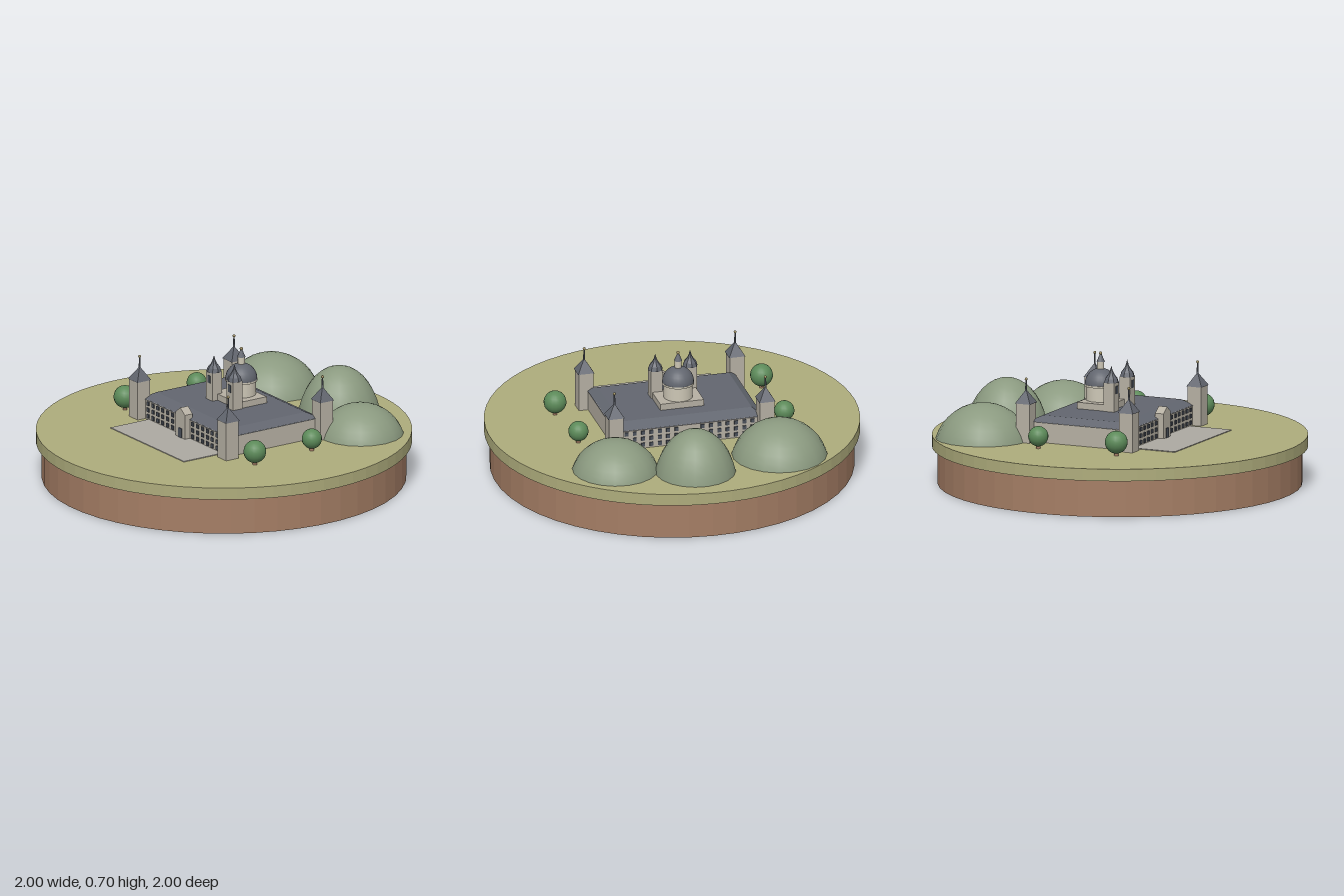
import * as THREE from 'three';

export function createModel() {
  const mat = (name, color) => Object.assign(new THREE.MeshStandardMaterial({ color }), { name });
  const grass = mat('grass', 0xaeac7c), earth = mat('earth', 0xa57e65), stone = mat('stone', 0xb6b0a3);
  const slate = mat('slate', 0x62666f), cream = mat('cream', 0xcdc7b6), glass = mat('darkGlass', 0x4a505a);
  const hillGreen = mat('hillGreen', 0x8b9a80), leaf = mat('leaf', 0x5c8a59);
  const paving = mat('paving', 0xaca9a2), gold = mat('gold', 0x9e8f62);

  const model = new THREE.Group();
  model.name = 'palaceOnIsland';
  const G = 0.265; // ground level

  const add = (parent, name, geo, material, x, y, z) => {
    const mesh = new THREE.Mesh(geo, material);
    mesh.name = name;
    mesh.position.set(x, y, z);
    parent.add(mesh);
    return mesh;
  };
  // Facet a geometry so each face has its own normal
  const flat = (geo) => {
    const g = geo.toNonIndexed();
    g.computeVertexNormals();
    return g;
  };
  const box = (parent, name, m, w, h, d, x, y0, z) =>
    add(parent, name, new THREE.BoxGeometry(w, h, d), m, x, y0 + h / 2, z);
  const cyl = (parent, name, m, rTop, rBot, h, seg, x, y0, z) =>
    add(parent, name, new THREE.CylinderGeometry(rTop, rBot, h, seg), m, x, y0 + h / 2, z);
  const ball = (parent, name, m, r, x, y, z, seg = 10) =>
    add(parent, name, new THREE.SphereGeometry(r, seg, Math.ceil(seg * 0.7)), m, x, y, z);

  // Round island: earth below, turf on top
  add(model, 'earthBase', flat(new THREE.CylinderGeometry(0.97, 0.97, 0.2, 48)), earth, 0, 0.1, 0);
  add(model, 'turf', flat(new THREE.CylinderGeometry(1, 1, G - 0.2, 64)), grass, 0, (G + 0.2) / 2, 0);

  // Hills: capped ellipsoids [x, z, radius, height]
  const cut = 0.3;
  for (const [x, z, r, h] of [[-0.195, -0.71, 0.255, 0.19], [0.3, -0.635, 0.215, 0.235], [0.63, -0.365, 0.23, 0.16]]) {
    const geo = new THREE.SphereGeometry(1, 20, 8, 0, Math.PI * 2, 0, Math.acos(cut));
    geo.translate(0, -cut, 0);
    geo.scale(r / Math.sqrt(1 - cut * cut), h / (1 - cut), r / Math.sqrt(1 - cut * cut));
    add(model, 'hill', geo, hillGreen, x, G, z);
  }

  // Round trees [x, z, radius]
  for (const [x, z, r] of [[-0.455, -0.39, 0.054], [-0.615, 0.043, 0.061], [0.592, -0.028 + 0.055, 0.054], [0.482, 0.395, 0.061]]) {
    cyl(model, 'treeTrunk', earth, 0.01, 0.012, 0.04, 8, x, G, z);
    ball(model, 'treeCrown', leaf, r, x, G + 0.012 + r, z, 18);
  }

  // Palace, turned on the island
  const palace = new THREE.Group();
  palace.name = 'palace';
  palace.position.set(0.014, 0, -0.045);
  palace.rotation.y = -0.352;
  model.add(palace);

  box(palace, 'plaza', paving, 0.69, 0.004, 0.26, 0, G, 0.41);
  box(palace, 'walls', stone, 0.81, 0.11, 0.588, 0, G, 0);

  // Low hipped roof with a flat top
  const roofGeo = new THREE.BoxGeometry(0.815, 0.032, 0.594);
  const p = roofGeo.attributes.position;
  for (let i = 0; i < p.count; i++) {
    if (p.getY(i) > 0) p.setXYZ(i, p.getX(i) * 0.885, p.getY(i), p.getZ(i) * 0.78);
  }
  add(palace, 'hippedRoof', flat(roofGeo), slate, 0, 0.389, 0);

  // Three rows of windows on the front and back walls
  for (const side of [1, -1]) {
    for (const s of [1, -1]) {
      for (let i = 0; i < 7; i++) {
        for (const y of [0.275, 0.31, 0.345]) {
          box(palace, 'window', glass, 0.02, 0.021, 0.009, s * (0.072 + i * 0.046), y, side * 0.2955);
        }
      }
    }
  }

  // Gabled entrance
  const gable = new THREE.Shape([[-0.043, 0], [0.043, 0], [0.043, 0.138], [0, 0.17], [-0.043, 0.138]]
    .map(([x, y]) => new THREE.Vector2(x, y)));
  add(palace, 'portal', new THREE.ExtrudeGeometry(gable, { depth: 0.05, bevelEnabled: false }), stone, 0, G, 0.277);
  box(palace, 'door', glass, 0.032, 0.052, 0.006, 0, G + 0.004, 0.328);

  // Four square corner towers with pyramid roofs and finials
  for (const sx of [1, -1]) {
    for (const sz of [1, -1]) {
      const tower = new THREE.Group();
      tower.name = 'cornerTower';
      tower.position.set(sx * 0.416, 0, sz * 0.304);
      palace.add(tower);
      box(tower, 'towerShaft', stone, 0.08, 0.21, 0.08, 0, G, 0);
      const cone = new THREE.ConeGeometry(0.063, 0.073, 4);
      cone.rotateY(Math.PI / 4);
      add(tower, 'towerRoof', flat(cone), slate, 0, 0.5115, 0);
      cyl(tower, 'towerSpire', slate, 0.004, 0.006, 0.066, 6, 0, 0.535, 0);
      ball(tower, 'towerFinial', gold, 0.008, 0, 0.604, 0, 8);
    }
  }

  // Church block, drum, dome and lantern
  const cz = -0.066;
  box(palace, 'churchBlock', stone, 0.24, 0.06, 0.19, 0, 0.38, -0.053);
  cyl(palace, 'drum', cream, 0.078, 0.078, 0.085, 24, 0, 0.44, cz);
  cyl(palace, 'drumCornice', cream, 0.086, 0.086, 0.01, 24, 0, 0.516, cz);
  const dome = new THREE.SphereGeometry(0.085, 24, 8, 0, Math.PI * 2, 0, Math.PI / 2);
  add(palace, 'dome', dome, slate, 0, 0.526, cz);
  cyl(palace, 'lantern', cream, 0.019, 0.019, 0.045, 10, 0, 0.602, cz);
  cyl(palace, 'lanternRoof', slate, 0.004, 0.022, 0.042, 10, 0, 0.647, cz);
  ball(palace, 'lanternFinial', gold, 0.009, 0, 0.692, cz, 8);

  // Twin bell towers before the dome
  for (const s of [1, -1]) {
    const bell = new THREE.Group();
    bell.name = 'bellTower';
    bell.position.set(s * 0.096, 0, 0.044);
    palace.add(bell);
    box(bell, 'bellShaft', stone, 0.062, 0.18, 0.062, 0, 0.38, 0);
    box(bell, 'bellOpening', glass, 0.024, 0.042, 0.006, 0, 0.5, 0.031);
    const cap = [[0.041, 0], [0.034, 0.022], [0.018, 0.042], [0.008, 0.062], [0.0001, 0.09]]
      .map(([x, y]) => new THREE.Vector2(x, y));
    add(bell, 'bellRoof', flat(new THREE.LatheGeometry(cap, 8)), slate, 0, 0.56, 0);
  }
  return model;
}
